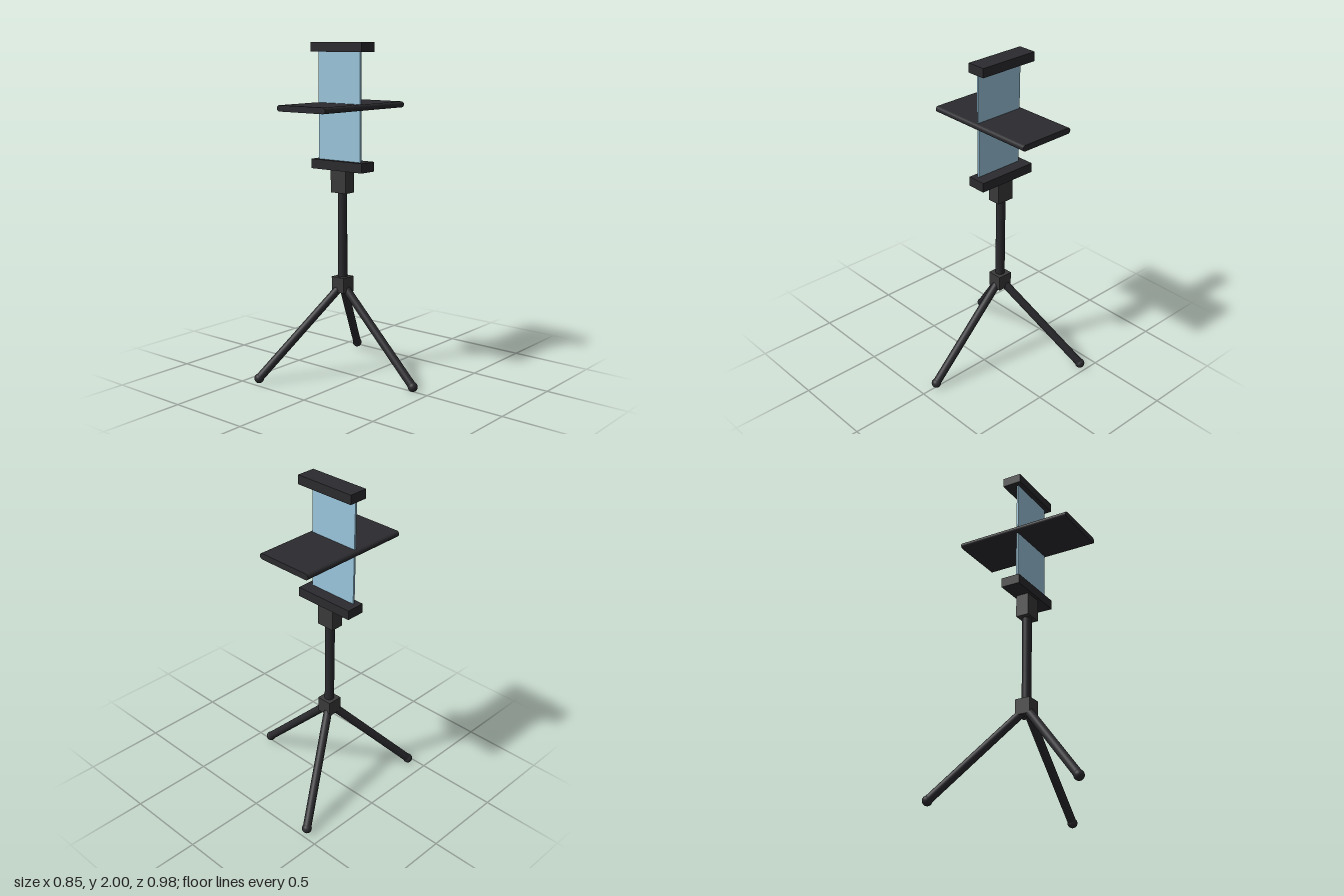
import * as THREE from 'three';

const AXIS_X = -0.1325; // the column stands off-centre because one leg points to +x

export function createModel() {
  const model = new THREE.Group();
  const black = new THREE.MeshStandardMaterial({ color: 0x2b2a2e });
  const grey = new THREE.MeshStandardMaterial({ color: 0x3a3a3a });
  const blue = new THREE.MeshStandardMaterial({ color: 0x9cc8de });

  function add(name, geometry, material, x, y, z) {
    const mesh = new THREE.Mesh(geometry, material);
    mesh.name = name;
    mesh.position.set(x, y, z);
    model.add(mesh);
    return mesh;
  }
  // Box centred on the column axis, between two heights
  function block(name, width, y0, y1, depth, material, z = 0) {
    return add(name, new THREE.BoxGeometry(width, y1 - y0, depth), material, AXIS_X, (y0 + y1) / 2, z);
  }

  // Tripod legs with ball feet
  const up = new THREE.Vector3(0, 1, 0);
  for (let i = 0; i < 3; i++) {
    const a = (i * Math.PI * 2) / 3;
    const at = (r, y) => new THREE.Vector3(AXIS_X + r * Math.cos(a), y, r * Math.sin(a));
    const top = at(0.01, 0.55);
    const foot = at(0.53, 0.03);
    const dir = top.clone().sub(foot);
    const mid = top.clone().add(foot).multiplyScalar(0.5);
    const leg = add('leg' + (i + 1), new THREE.CylinderGeometry(0.025, 0.025, dir.length(), 24), black, mid.x, mid.y, mid.z);
    leg.quaternion.setFromUnitVectors(up, dir.normalize());
    add('foot' + (i + 1), new THREE.SphereGeometry(0.029, 24, 16), black, foot.x, 0.029, foot.z);
  }

  // Hub, column and head
  block('hub', 0.094, 0.515, 0.608, 0.094, grey);
  add('column', new THREE.CylinderGeometry(0.028, 0.028, 0.6, 24), black, AXIS_X, 0.87, 0);
  block('head', 0.114, 1.12, 1.256, 0.08, grey);

  // Clamp bars holding the upright panel
  block('lowerClamp', 0.386, 1.255, 1.312, 0.116, black);
  block('upperClamp', 0.386, 1.945, 2, 0.116, black);
  block('panel', 0.316, 1.305, 1.95, 0.012, blue, 0.023);

  // Flat slab crossing the panel, with rounded long edges
  const r = 0.018;
  const h = 0.182 - r;
  const pill = new THREE.Shape();
  pill.absarc(h, 0, r, -Math.PI / 2, Math.PI / 2, false);
  pill.absarc(-h, 0, r, Math.PI / 2, Math.PI * 1.5, false);
  pill.closePath();
  const slab = new THREE.ExtrudeGeometry(pill, { depth: 0.72, bevelEnabled: false, curveSegments: 10 });
  add('slab', slab, black, AXIS_X, 1.63, -0.36);

  return model;
}
